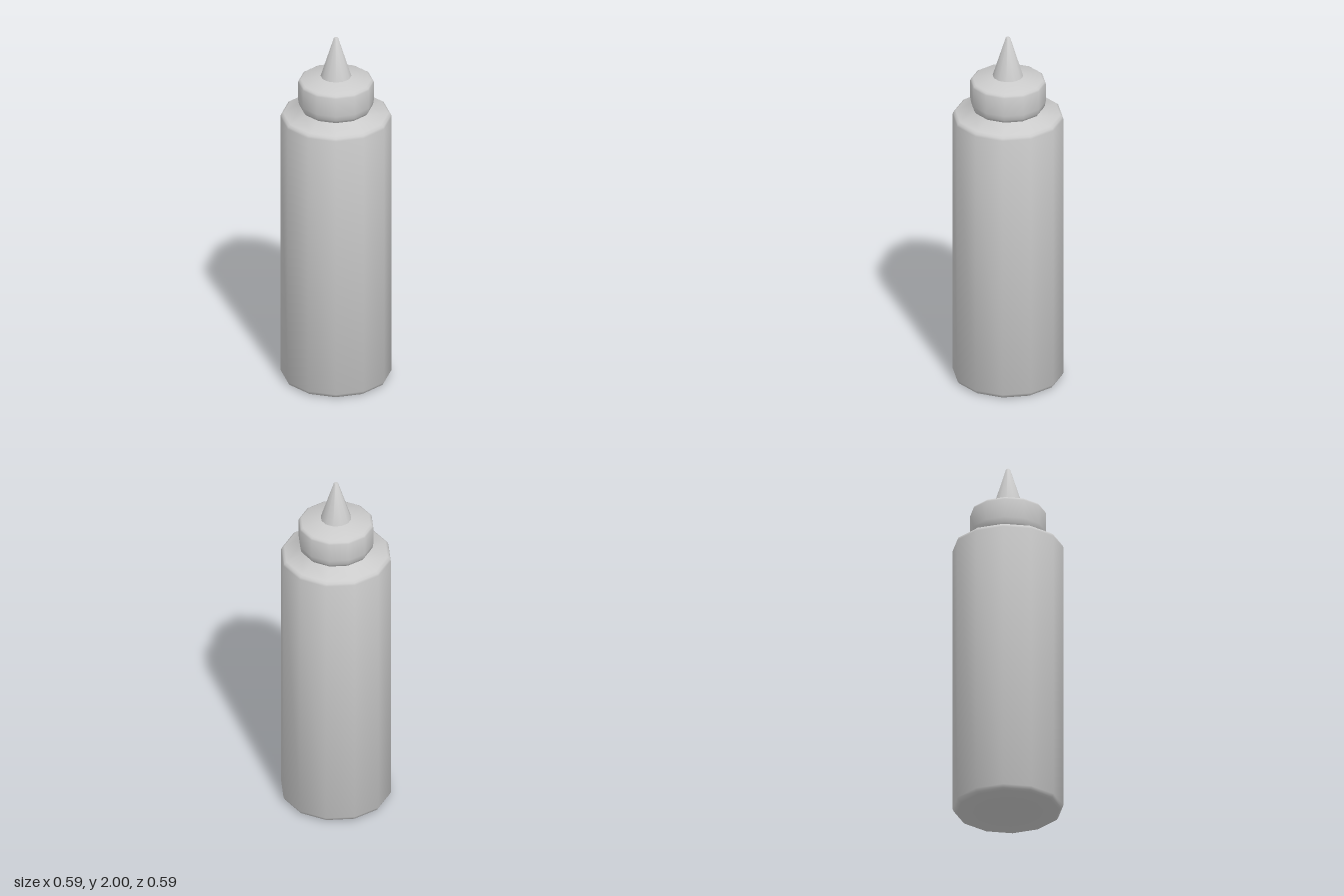
import * as THREE from 'three';
import { toCreasedNormals } from 'three/addons/utils/BufferGeometryUtils.js';

const SIDES = 12;

// Twelve-sided turned part from [radius, height] pairs, bottom to top
function turned(name, profile, material) {
  const points = profile.map(([r, y]) => new THREE.Vector2(r, y));
  const geometry = toCreasedNormals(new THREE.LatheGeometry(points, SIDES), 0.9);
  const mesh = new THREE.Mesh(geometry, material);
  mesh.name = name;
  return mesh;
}

export function createModel() {
  const group = new THREE.Group();
  group.name = 'squeezeBottle';
  const material = new THREE.MeshStandardMaterial({ color: 0xcccccc, side: THREE.DoubleSide });

  // Straight body with bevelled base, sloping shoulder and short neck
  group.add(turned('body', [
    [0, 0], [0.272, 0], [0.285, 0.008], [0.295, 0.026],
    [0.295, 1.53], [0.291, 1.543], [0.278, 1.553],
    [0.185, 1.583], [0.177, 1.6],
  ], material));

  // Cap with a tucked-in lower edge and a shallow cone on top
  group.add(turned('cap', [
    [0.17, 1.575], [0.186, 1.586], [0.196, 1.603], [0.201, 1.63],
    [0.201, 1.735], [0.197, 1.745], [0.186, 1.752], [0.078, 1.774],
  ], material));

  // Tapered nozzle with a small flat tip
  group.add(turned('nozzle', [
    [0.082, 1.772], [0.012, 1.996], [0.008, 2], [0, 2],
  ], material));

  return group;
}
